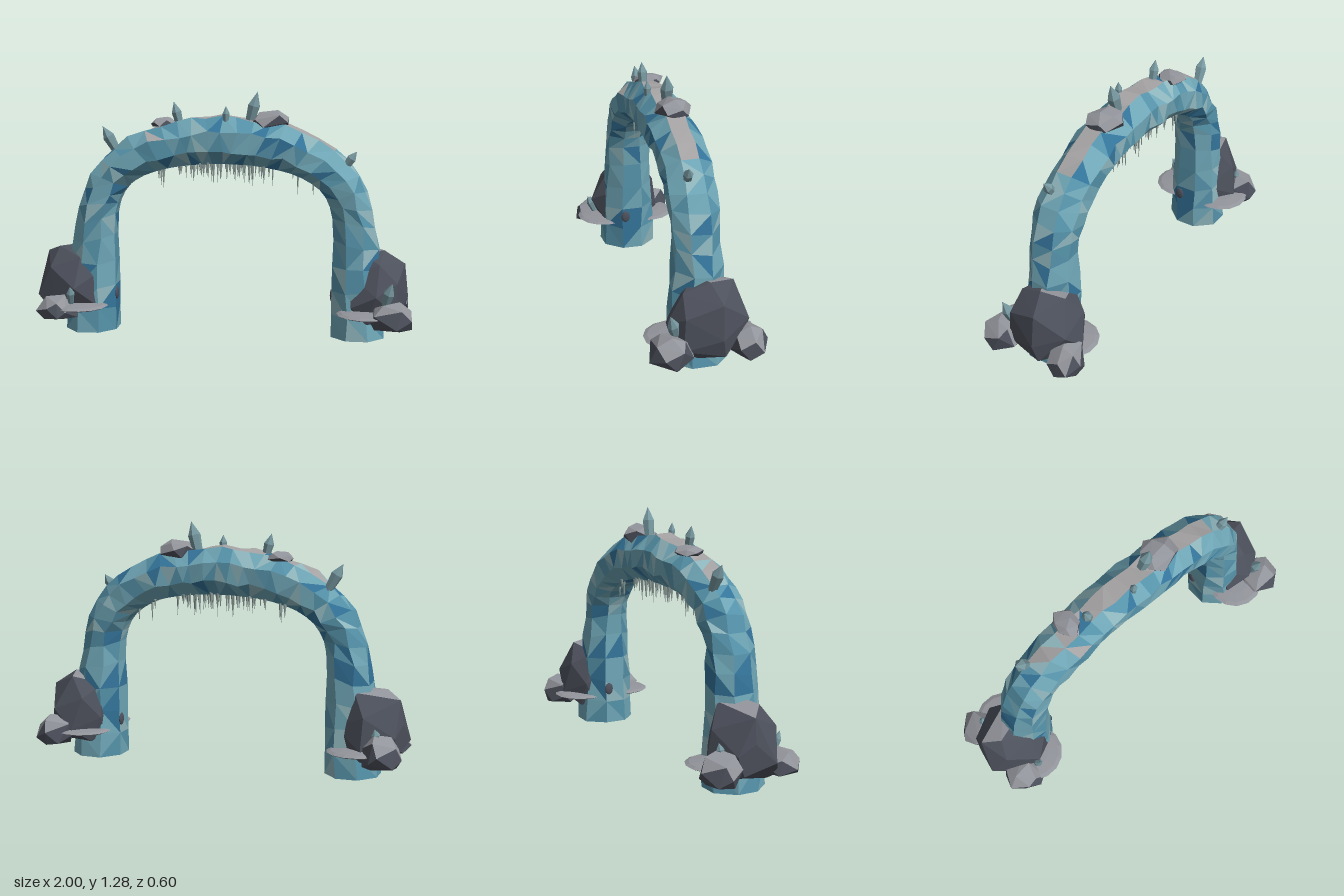
import * as THREE from 'three';
import { ConvexGeometry } from 'three/addons/geometries/ConvexGeometry.js';

const V = (x, y, z) => new THREE.Vector3(x, y, z);
const mat = (color) => new THREE.MeshStandardMaterial({ color, flatShading: true });
const ice = [0x6fa6b6, 0x5592a9, 0x34749a, 0x8fb6bd].map(mat);
const frost = mat(0xa3a1a2), darkRock = mat(0x4d515c), paleRock = mat(0x92949b);
const crystalMat = mat(0x76979f), icicleMat = mat(0x8fa09c);

function seeded(seed) {
  return () => {
    seed = (seed * 16807) % 2147483647;
    return seed / 2147483647;
  };
}

// Sorts triangles into one mesh per material; pick(normal) returns the material
function splitByTone(name, triangles, pick) {
  const group = new THREE.Group();
  group.name = name;
  const buckets = new Map();
  for (const t of triangles) {
    const n = new THREE.Triangle(...t).getNormal(V(0, 0, 0));
    const m = pick(n);
    if (!buckets.has(m)) buckets.set(m, []);
    buckets.get(m).push(...t);
  }
  for (const [m, points] of buckets) {
    const g = new THREE.BufferGeometry().setFromPoints(points);
    g.computeVertexNormals();
    const mesh = new THREE.Mesh(g, m);
    mesh.name = name + 'Faces';
    group.add(mesh);
  }
  return group;
}

// Octagonal section swept between an inner and an outer outline
function buildArch() {
  const rnd = seeded(4217);
  const outline = (half) => new THREE.CatmullRomCurve3([
    ...half.map(([x, y]) => V(-x, y, 0)),
    ...half.slice(0, -1).reverse().map(([x, y]) => V(x, y, 0)),
  ]);
  const outer = outline([[0.85, 0], [0.82, 0.3], [0.8, 0.56], [0.73, 0.8], [0.6, 0.96], [0.4, 1.08], [0.2, 1.13], [0, 1.15]]);
  const inner = outline([[0.575, 0], [0.575, 0.3], [0.575, 0.62], [0.53, 0.75], [0.43, 0.83], [0.28, 0.88], [0.13, 0.9], [0, 0.905]]);
  const steps = 34, sides = 8, rings = [];
  for (let i = 0; i <= steps; i++) {
    const t = i / steps, o = outer.getPoint(t), n = inner.getPoint(t);
    const mid = o.clone().add(n).multiplyScalar(0.5);
    const out = o.clone().sub(n).multiplyScalar(0.5 / Math.cos(Math.PI / 8));
    const depth = (0.117 + 0.028 * Math.max(0, 1 - mid.y / 0.6)) / Math.cos(Math.PI / 8);
    const ring = [];
    for (let k = 0; k < sides; k++) {
      const a = ((k + 0.5) / sides) * Math.PI * 2;
      const p = mid.clone().addScaledVector(out, Math.cos(a));
      p.z = Math.sin(a) * depth;
      const foot = i === 0 || i === steps;
      if (!foot && Math.cos(a) > -0.5) {
        p.x += (rnd() - 0.5) * 0.024;
        p.y += (rnd() - 0.5) * 0.024;
      }
      p.z += (rnd() - 0.5) * 0.014;
      ring.push(p);
    }
    rings.push(ring);
  }
  const tris = [];
  for (let i = 0; i < steps; i++) {
    for (let k = 0; k < sides; k++) {
      const j = (k + 1) % sides;
      const a = rings[i][k], b = rings[i][j], c = rings[i + 1][j], d = rings[i + 1][k];
      if (rnd() > 0.5) tris.push([a, b, d], [b, c, d]);
      else tris.push([a, b, c], [a, c, d]);
    }
  }
  // foot caps
  const first = rings[0], last = rings[steps];
  for (let k = 1; k < sides - 1; k++) {
    tris.push([first[0], first[k + 1], first[k]], [last[0], last[k], last[k + 1]]);
  }
  return splitByTone('iceArch', tris, (n) => {
    const r = rnd();
    if (n.y < -0.9) return ice[2];
    if (n.y > 0.8 && r < 0.88) return frost;
    return r < 0.48 ? ice[0] : r < 0.77 ? ice[1] : r < 0.91 ? ice[2] : ice[3];
  });
}

// Faceted boulder with a flat underside, fitted to a box; faces steeper than `pale` stay dark
function rock(name, min, max, seed, pale, count = 24, floor = -0.45) {
  const rnd = seeded(seed), pts = [];
  for (let i = 0; i < count; i++) {
    const y = 1 - (2 * (i + 0.5)) / count, a = i * 2.39996 + rnd() * 0.7;
    const r = Math.sqrt(1 - y * y), s = 0.9 + rnd() * 0.15;
    pts.push(V(Math.cos(a) * r * s, Math.max(y * s, floor), Math.sin(a) * r * s));
  }
  const box = new THREE.Box3().setFromPoints(pts), size = box.getSize(V(0, 0, 0));
  const lo = V(...min), span = V(...max).sub(lo);
  pts.forEach((p) => p.sub(box.min).divide(size).multiply(span).add(lo));
  const pos = new ConvexGeometry(pts).attributes.position, tris = [];
  for (let i = 0; i < pos.count; i += 3) {
    tris.push([0, 1, 2].map((k) => V(0, 0, 0).fromBufferAttribute(pos, i + k)));
  }
  return splitByTone(name, tris, (n) => (n.y > pale ? paleRock : darkRock));
}

// Six-sided shard widening to a shoulder, then a point
function crystal(base, tip, radius) {
  const from = V(...base), dir = V(...tip).sub(from), len = dir.length();
  const profile = [[0, 0], [0.7, 0], [1, 0.6], [0, 1]].map(([r, h]) => new THREE.Vector2(r * radius, h * len));
  const mesh = new THREE.Mesh(new THREE.LatheGeometry(profile, 6), crystalMat);
  mesh.position.copy(from);
  mesh.quaternion.setFromUnitVectors(V(0, 1, 0), dir.normalize());
  mesh.name = 'crystal';
  return mesh;
}

export function createModel() {
  const model = new THREE.Group();
  model.name = 'iceArchway';
  model.add(buildArch());

  // boulders around the feet
  model.add(
    rock('rightBoulder', [-1, 0.09, -0.2], [-0.61, 0.46, 0.2], 31, 0.93, 26),
    rock('leftBoulder', [0.63, 0.09, -0.23], [0.975, 0.455, 0.18], 77, 0.93, 26),
    rock('rightBackStone', [-1, 0.085, -0.29], [-0.8, 0.25, -0.07], 12, 0.4, 18),
    rock('rightFrontStone', [-0.98, 0.09, 0.06], [-0.76, 0.21, 0.28], 58, 0.4, 18),
    rock('leftBackStone', [0.79, 0.08, -0.3], [0.98, 0.235, -0.11], 93, 0.4, 18),
    rock('leftFrontStone', [0.78, 0.085, 0.07], [0.995, 0.23, 0.295], 24, 0.4, 18),
  );

  // stones resting on the crown
  model.add(
    rock('crownStoneSmall', [-0.39, 1.09, -0.12], [-0.27, 1.14, 0.045], 45, 0.2, 18),
    rock('crownStoneLarge', [0.14, 1.09, -0.105], [0.34, 1.185, 0.08], 66, 0.2, 18),
  );

  // thin snow ledges and small inner pebbles
  for (const sx of [-1, 1]) {
    for (const sz of [-1, 1]) {
      const ledge = new THREE.Mesh(new THREE.SphereGeometry(1, 14, 6), paleRock);
      ledge.scale.set(0.155, 0.018, 0.15);
      ledge.position.set(sx * 0.76, 0.147, sz * 0.13);
      ledge.name = 'snowLedge';
      model.add(ledge);
    }
    const pebble = new THREE.Mesh(new THREE.IcosahedronGeometry(1, 1), darkRock);
    pebble.scale.set(0.01, 0.035, 0.025);
    pebble.position.set(sx * 0.573, 0.2, -0.04 * sx);
    pebble.name = 'innerPebble';
    model.add(pebble);
  }

  // crystals: base, tip, radius
  const shards = [
    [[-0.58, 0.95, -0.05], [-0.655, 1.085, -0.04], 0.032],
    [[-0.225, 1.09, 0.02], [-0.26, 1.225, 0.02], 0.027],
    [[0.02, 1.11, 0.06], [0.02, 1.21, 0.065], 0.02],
    [[0.13, 1.1, -0.01], [0.178, 1.28, 0.005], 0.034],
    [[0.63, 0.89, 0.03], [0.695, 0.98, 0.04], 0.026],
    [[-0.79, 0.17, 0.18], [-0.785, 0.265, 0.22], 0.022],
    [[-0.87, 0.2, -0.16], [-0.86, 0.28, -0.175], 0.022],
    [[0.85, 0.18, 0.14], [0.89, 0.325, 0.185], 0.03],
  ];
  shards.forEach((s) => model.add(crystal(...s)));

  // icicles under the crown, densest in the middle
  const icicles = new THREE.Group();
  icicles.name = 'icicles';
  const rnd = seeded(905);
  for (let i = 0; i < 56; i++) {
    const x = i < 30 ? (rnd() - 0.5) * 0.5 : -0.37 + rnd() * 0.85;
    const len = 0.045 + rnd() * 0.085;
    const geo = new THREE.ConeGeometry(0.006 + rnd() * 0.005, len, 5);
    geo.rotateX(Math.PI);
    const cone = new THREE.Mesh(geo, icicleMat);
    cone.position.set(x, 0.915 - 0.37 * x * x - len / 2, (rnd() - 0.5) * 0.12);
    cone.name = 'icicle';
    icicles.add(cone);
  }
  model.add(icicles);
  return model;
}
